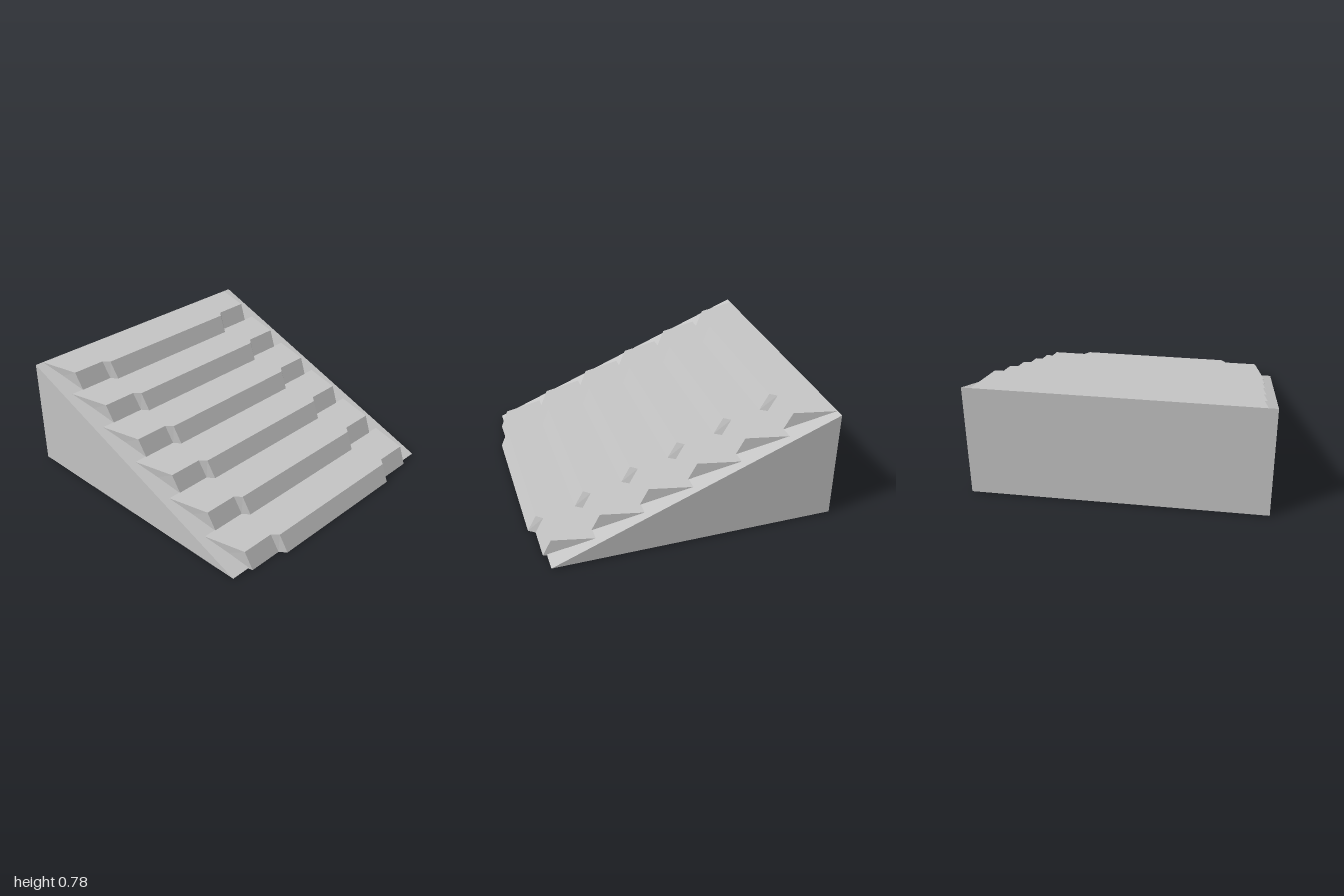
import * as THREE from 'three';

const STEPS = 6, RUN = 0.325, RISE = 0.129, HALF_WIDTH = 0.963;

// Half outlines of one step as [x, z], from the middle of the front to the back
const BOTTOM = [[0.54, 1.0], [0.575, 0.955], [0.816, 0.955], [0.892, 0.655]];
const TOP = [[0.553, 0.942], [0.592, 0.9], [0.83, 0.9], [0.905, 0.625]];

// Mirror a half outline into a full loop running from the -x back to the +x back
const mirror = half => [...half.map(([x, z]) => [-x, z]).reverse(), ...half];

// Leaning step with a recessed wing at each end and a slightly rising tread
function stepGeometry() {
  const low = mirror(BOTTOM).map(([x, z]) => [x, 0, z]);
  const high = mirror(TOP).map(([x, z]) => [x, 0.119 + (0.942 - z) * 0.036, z]);
  const n = low.length;
  const positions = [];
  const face = (a, b, c) => positions.push(...a, ...b, ...c);
  const triangles = loop =>
    THREE.ShapeUtils.triangulateShape(loop.map(p => new THREE.Vector2(p[0], -p[2])), []);

  // Tread and underside
  for (const [a, b, c] of triangles(high)) face(high[a], high[b], high[c]);
  for (const [a, b, c] of triangles(low)) face(low[a], low[c], low[b]);

  // Walls
  for (let i = 0; i < n; i++) {
    const j = (i + 1) % n;
    face(low[i], low[j], high[j]);
    face(low[i], high[j], high[i]);
  }
  const geometry = new THREE.BufferGeometry();
  geometry.setAttribute('position', new THREE.Float32BufferAttribute(positions, 3));
  geometry.computeVertexNormals();
  return geometry;
}

// Solid ramp under the steps
function rampGeometry() {
  const profile = new THREE.Shape([
    new THREE.Vector2(-0.93, 0.008),
    new THREE.Vector2(1, 0.008),
    new THREE.Vector2(1, 0.776),
  ]);
  return new THREE.ExtrudeGeometry(profile, { depth: HALF_WIDTH * 2, bevelEnabled: false })
    .rotateY(Math.PI / 2)
    .translate(-HALF_WIDTH, 0, 0);
}

export function createModel() {
  const model = new THREE.Group();
  model.name = 'steppedRamp';
  const stone = new THREE.MeshStandardMaterial({ color: 0xc4c4c4 });
  stone.name = 'light grey stone';

  const ramp = new THREE.Mesh(rampGeometry(), stone);
  ramp.name = 'ramp';
  model.add(ramp);

  // Flight of identical steps up the slope
  const geometry = stepGeometry();
  for (let i = 0; i < STEPS; i++) {
    const step = new THREE.Mesh(geometry, stone);
    step.name = `step${i + 1}`;
    step.position.set(0, i * RISE, -i * RUN);
    model.add(step);
  }
  return model;
}
